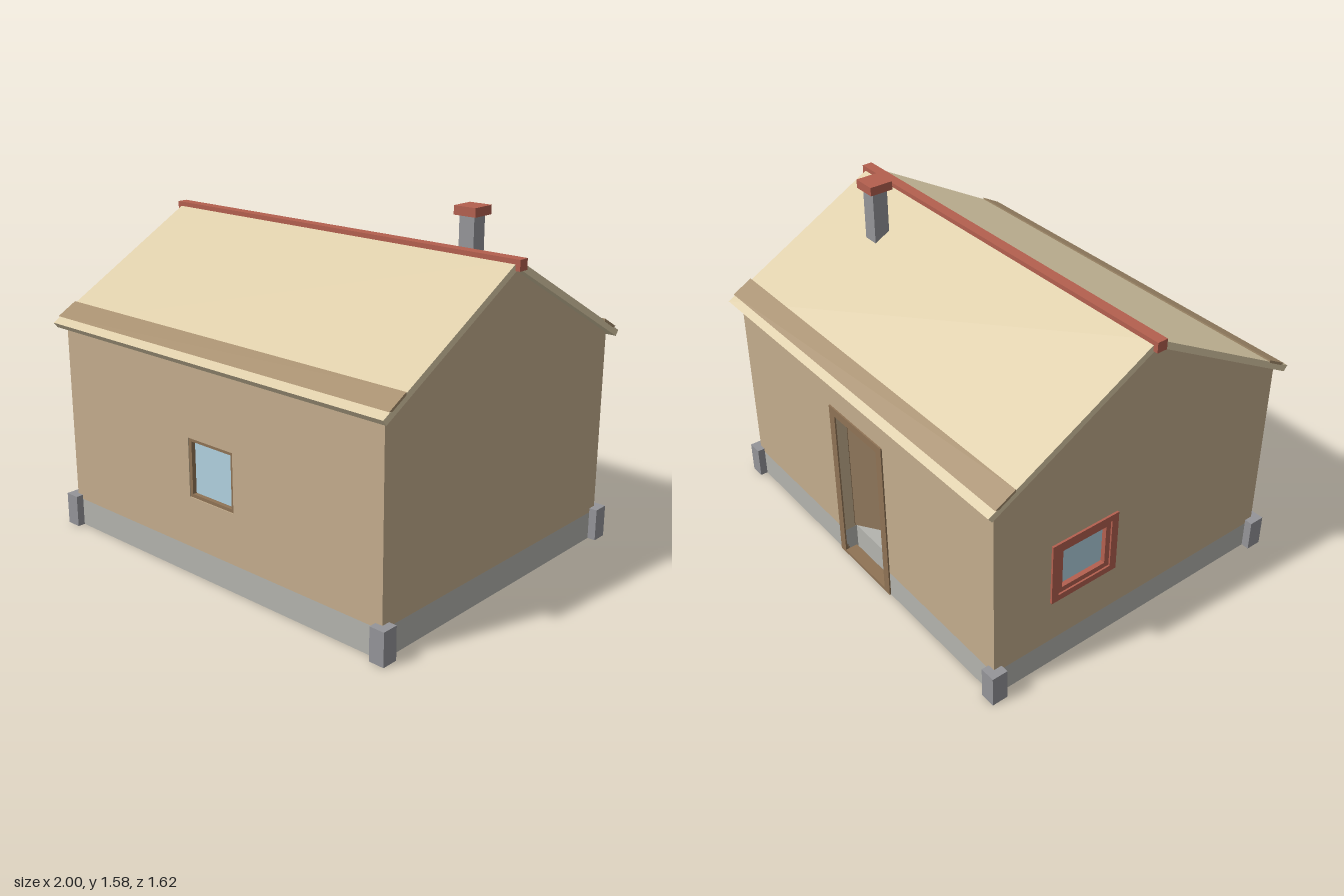
import * as THREE from 'three';

const W = 0.945, D = 0.76, T = 0.05;      // half width, half depth, wall thickness
const BASE = 0.13, EAVE = 0.985, APEX = 1.405;
const COLORS = {
  wall: 0xc4ad8d, base: 0xb4b4ae, stone: 0x959599, roof: 0xdccca8, band: 0xa58d6c,
  red: 0xb4604f, frame: 0x8f7355, door: 0x9a8062, glass: 0xb2d2e0,
};
const mats = {};
for (const k in COLORS) {
  mats[k] = new THREE.MeshStandardMaterial({ color: COLORS[k], flatShading: true });
}

function add(parent, name, geo, mat) {
  const m = new THREE.Mesh(geo, mats[mat]);
  m.name = name;
  parent.add(m);
  return m;
}

// box given by its minimum and maximum corners
function box(parent, name, mat, [x0, y0, z0], [x1, y1, z1]) {
  const m = add(parent, name, new THREE.BoxGeometry(x1 - x0, y1 - y0, z1 - z0), mat);
  m.position.set((x0 + x1) / 2, (y0 + y1) / 2, (z0 + z1) / 2);
  return m;
}

const poly = (pts) => new THREE.Shape(pts.map(([x, y]) => new THREE.Vector2(x, y)));
const rect = (x0, x1, y0, y1) => [[x0, y0], [x1, y0], [x1, y1], [x0, y1]];

// flat plate whose outer face lies at z = 0, with optional opening
function plate(pts, depth, hole) {
  const s = poly(pts);
  if (hole) s.holes.push(poly(hole));
  return new THREE.ExtrudeGeometry(s, { depth, bevelEnabled: false }).translate(0, 0, -depth);
}

export function createModel() {
  const house = new THREE.Group();
  house.name = 'house';

  // foundation slab, notched at the doorway
  const plan = [[-W, -D], [W, -D], [W, D], [0.16, D], [0.16, 0.7], [-0.16, 0.7], [-0.16, D], [-W, D]];
  add(house, 'foundation', plate(plan, BASE).rotateX(-Math.PI / 2), 'base').position.y = BASE;

  // front wall with window opening
  const front = add(house, 'frontWall',
    plate(rect(-W, W, BASE, EAVE), T, rect(-0.135, 0.135, 0.365, 0.635)), 'wall');
  front.position.z = D;

  // back wall with doorway
  const back = add(house, 'backWall', plate([
    [-W, BASE], [-0.16, BASE], [-0.16, 0.78], [0.16, 0.78], [0.16, BASE], [W, BASE], [W, EAVE], [-W, EAVE],
  ], T), 'wall');
  back.rotation.y = Math.PI;
  back.position.z = -D;

  // side walls and gables; only the right wall has a window
  for (const s of [-1, 1]) {
    const side = new THREE.Group();
    side.name = s < 0 ? 'rightSide' : 'leftSide';
    side.rotation.y = s * Math.PI / 2;
    side.position.x = s * W;
    const hole = s < 0 ? rect(-0.42, -0.17, 0.385, 0.605) : null;
    add(side, 'sideWall', plate(rect(-D + T, D - T, BASE, EAVE), T, hole), 'wall');
    add(side, 'gable', plate([[-D, EAVE], [D, EAVE], [0, APEX]], T), 'wall');
    house.add(side);
  }

  // front window, set back in the wall
  const win = new THREE.Group();
  win.name = 'frontWindow';
  add(win, 'windowFrame',
    plate(rect(-0.135, 0.135, 0.365, 0.635), 0.04, rect(-0.12, 0.12, 0.38, 0.62)), 'frame').position.z = D - 0.005;
  box(win, 'windowGlass', 'glass', [-0.12, 0.38, D - 0.035], [0.12, 0.62, D - 0.025]);
  house.add(win);

  // right side window with a raised surround
  const sideWin = new THREE.Group();
  sideWin.name = 'sideWindow';
  sideWin.rotation.y = -Math.PI / 2;
  sideWin.position.x = -W;
  add(sideWin, 'windowSurround',
    plate(rect(-0.47, -0.12, 0.345, 0.65), 0.01, rect(-0.435, -0.155, 0.375, 0.62)), 'red').position.z = 0.01;
  add(sideWin, 'windowFrame',
    plate(rect(-0.435, -0.155, 0.375, 0.62), 0.04, rect(-0.41, -0.18, 0.4, 0.595)), 'red').position.z = 0.002;
  box(sideWin, 'windowGlass', 'glass', [-0.41, 0.4, -0.03], [-0.18, 0.595, -0.02]);
  house.add(sideWin);

  // door frame on the back, leaf ajar into the room
  const frame = add(house, 'doorFrame',
    plate(rect(-0.2, 0.2, 0, 0.82), 0.06, rect(-0.16, 0.16, 0.015, 0.78)), 'frame');
  frame.rotation.y = Math.PI;
  frame.position.z = -D - 0.007;
  const hinge = new THREE.Group();
  hinge.name = 'door';
  hinge.position.set(0.155, 0, -0.71);
  hinge.rotation.y = 0.6;
  box(hinge, 'doorLeaf', 'door', [-0.31, 0.14, 0], [0, 0.775, 0.02]);
  house.add(hinge);

  // roof slopes with a raised band near each eave
  const k = (APEX - EAVE) / D;
  const under = (z) => APEX - k * z;
  const slope = (z0, z1, h0, h1, half) => new THREE.ExtrudeGeometry(
    poly([[z0, under(z0) + h0], [z1 - 0.018, under(z1 - 0.018) + h0], [z1, under(z1) + h1], [z0, under(z0) + h1]]),
    { depth: half * 2, bevelEnabled: false },
  ).translate(0, 0, -half);
  for (const s of [-1, 1]) {
    const roof = new THREE.Group();
    roof.name = s > 0 ? 'frontRoof' : 'backRoof';
    roof.rotation.y = -s * Math.PI / 2;
    add(roof, 'roofSlope', slope(0, 0.81, 0.001, 0.035, 0.978), 'roof');
    add(roof, 'eaveBand', slope(0.685, 0.78, 0.03, 0.043, 0.98), 'band');
    house.add(roof);
  }
  box(house, 'ridge', 'red', [-1, 1.4, -0.025], [1, 1.447, 0.025]);

  // chimney
  box(house, 'chimney', 'stone', [0.545, 1.24, -0.263], [0.622, 1.54, -0.188]);
  box(house, 'chimneyCap', 'red', [0.528, 1.54, -0.283], [0.64, 1.58, -0.17]);

  // corner stones
  for (const sx of [-1, 1]) for (const sz of [-1, 1]) {
    const c = add(house, 'cornerStone', new THREE.BoxGeometry(0.072, 0.15, 0.075), 'stone');
    c.position.set(sx * 0.947, 0.075, sz * 0.758);
  }
  return house;
}
